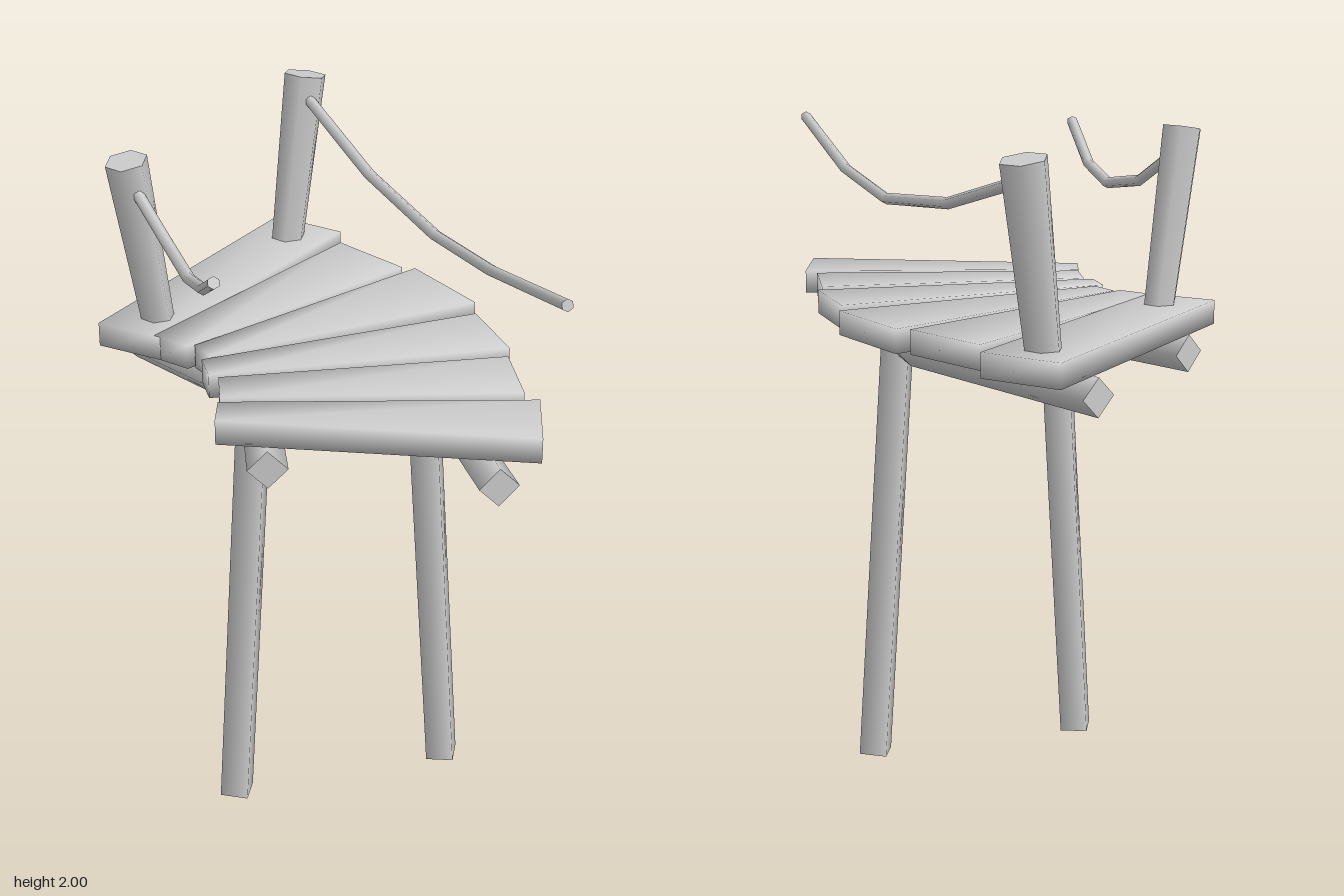
import * as THREE from 'three';

const material = new THREE.MeshStandardMaterial({ color: 0xcccccc });
const V = (p) => new THREE.Vector3(...p);

function add(group, name, geometry) {
  const mesh = new THREE.Mesh(geometry, material);
  mesh.name = name;
  group.add(mesh);
  return mesh;
}

// Straight-segment path whose samples fall exactly on its points
class Polyline extends THREE.Curve {
  constructor(points) {
    super();
    this.points = points;
  }
  getPoint(t, target = new THREE.Vector3()) {
    const last = this.points.length - 1;
    const i = Math.min(Math.floor(t * last + 1e-9), last - 1);
    return target.lerpVectors(this.points[i], this.points[i + 1], t * last - i);
  }
  getPointAt(t, target) { return this.getPoint(t, target); }
  getTangentAt(t, target) { return this.getTangent(t, target); }
}

// Bent pole with mitred joints and flat end caps
function addPole(group, name, points, radius, sides) {
  const pole = new THREE.Group();
  pole.name = name;
  group.add(pole);
  const segments = points.length - 1;
  const tube = new THREE.TubeGeometry(new Polyline(points.map(V)), segments, radius, sides);
  add(pole, name + 'Shaft', tube);
  for (const end of [0, segments]) {
    const ring = [];
    for (let j = 0; j < sides; j++) {
      ring.push(new THREE.Vector3().fromBufferAttribute(tube.attributes.position, end * (sides + 1) + j));
    }
    const corners = [];
    for (let j = 1; j < sides - 1; j++) {
      corners.push(ring[0], ...(end ? [ring[j], ring[j + 1]] : [ring[j + 1], ring[j]]));
    }
    const out = V(points[end]).sub(V(points[end ? end - 1 : 1]));
    const normal = new THREE.Triangle(...corners.slice(0, 3)).getNormal(new THREE.Vector3());
    if (normal.dot(out) < 0) corners.reverse();
    const cap = new THREE.BufferGeometry().setFromPoints(corners);
    cap.computeVertexNormals();
    add(pole, name + 'End', cap);
  }
}

// Tapered straight post between two points
function addPost(group, name, from, to, rBottom, rTop, sides, turn) {
  const a = V(from), b = V(to), dir = b.clone().sub(a);
  const post = add(group, name,
    new THREE.CylinderGeometry(rTop, rBottom, dir.length(), sides, 1, false, turn));
  post.position.copy(a).add(b).multiplyScalar(0.5);
  post.quaternion.setFromUnitVectors(new THREE.Vector3(0, 1, 0), dir.normalize());
}

// Softly shaded wedge board from four plan corners (clockwise seen from above)
function addPlank(group, name, corners) {
  const positions = [];
  for (const y of [1.4, 1.472]) for (const [x, z] of corners) positions.push(x, y, z);
  const index = [0, 1, 2, 0, 2, 3, 4, 6, 5, 4, 7, 6];
  for (let i = 0; i < 4; i++) {
    const j = (i + 1) % 4;
    index.push(i, i + 4, j, j, i + 4, j + 4);
  }
  const geometry = new THREE.BufferGeometry();
  geometry.setAttribute('position', new THREE.Float32BufferAttribute(positions, 3));
  geometry.setIndex(index);
  geometry.computeVertexNormals();
  add(group, name, geometry);
}

export function createModel() {
  const model = new THREE.Group();
  model.name = 'curvedWalkway';

  // Fanned deck boards: outer back, outer front, inner front, inner back
  const deck = new THREE.Group();
  deck.name = 'deck';
  model.add(deck);
  [
    [[-0.34, -0.8], [-0.115, -0.7], [-0.5, 0.18], [-0.7, 0.11]],
    [[-0.1, -0.61], [0.12, -0.44], [-0.41, 0.225], [-0.52, 0.17]],
    [[0.16, -0.44], [0.37, -0.21], [-0.33, 0.28], [-0.39, 0.215]],
    [[0.38, -0.13], [0.5, 0.095], [-0.31, 0.4], [-0.35, 0.305]],
    [[0.5, 0.15], [0.565, 0.375], [-0.25, 0.535], [-0.28, 0.41]],
    [[0.61, 0.41], [0.635, 0.64], [-0.235, 0.67], [-0.25, 0.56]],
  ].forEach((corners, i) => addPlank(deck, 'plank' + (i + 1), corners));

  // Bent diamond-section beams under the deck
  const beamY = 1.345;
  const beam = (name, plan) => addPole(model, name, plan.map(([x, z]) => [x, beamY, z]), 0.056, 4);
  beam('innerBeam', [[-0.09, 0.69], [-0.2, 0.265], [-0.635, -0.06]]);
  beam('outerBeam', [[0.53, 0.69], [0.25, 0.05], [0.18, -0.1], [-0.425, -0.645]]);

  // Square splayed legs
  addPost(model, 'innerLeg', [-0.28, 0, 0.325], [-0.205, 1.335, 0.295], 0.06, 0.06, 4, Math.PI / 4);
  addPost(model, 'outerLeg', [0.328, 0, 0.03], [0.25, 1.335, 0.065], 0.06, 0.06, 4, Math.PI / 4);

  // Railing posts, wider at the top
  addPost(model, 'innerPost', [-0.535, 1.41, 0.025], [-0.59, 1.98, 0.12], 0.048, 0.062, 6, 0);
  addPost(model, 'outerPost', [-0.28, 1.41, -0.63], [-0.228, 1.985, -0.715], 0.052, 0.068, 6, 0);

  // Sagging ropes
  addPole(model, 'innerRope', [
    [-0.565, 1.9, 0.13], [-0.46, 1.805, 0.24], [-0.35, 1.77, 0.425],
    [-0.275, 1.81, 0.58], [-0.2, 1.92, 0.785]], 0.017, 6);
  addPole(model, 'outerRope', [
    [-0.21, 1.92, -0.67], [0.03, 1.81, -0.335], [0.27, 1.768, 0.01],
    [0.46, 1.81, 0.34], [0.685, 1.92, 0.785]], 0.017, 6);

  return model;
}
